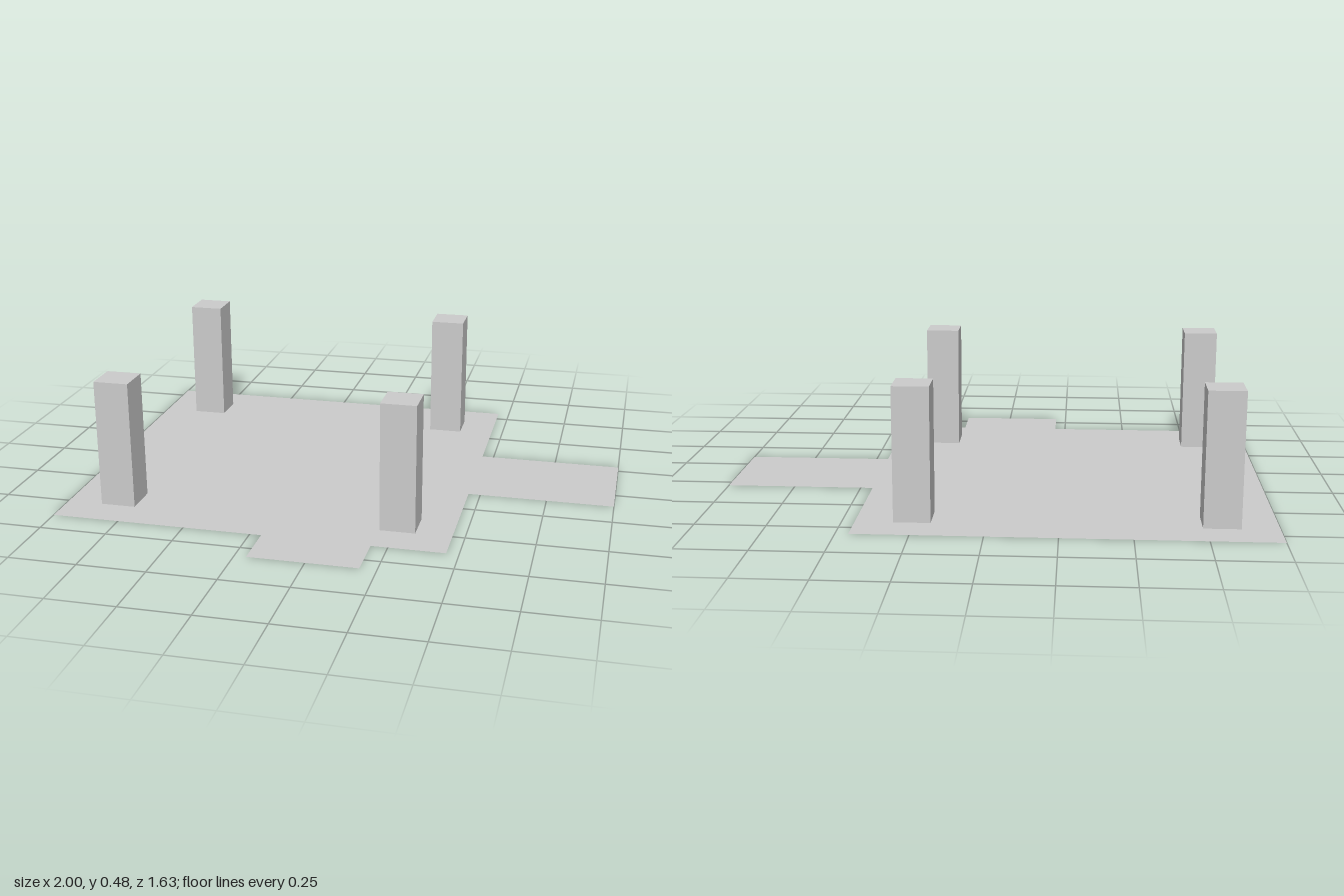
import * as THREE from 'three';

const POST = { size: 0.13, height: 0.48, xs: [-0.803, 0.257], zs: [-0.621, 0.438] };

export function createModel() {
  const model = new THREE.Group();
  model.name = 'platformWithPosts';
  const material = new THREE.MeshStandardMaterial({
    color: 0xcccccc, flatShading: true, side: THREE.DoubleSide,
  });

  // Flat outline as [x, z] corners; shape y is -z so the sheet faces up
  const toShapePoints = (corners) => corners.map(([x, z]) => new THREE.Vector2(x, -z));
  const outline = new THREE.Shape(toShapePoints([
    [-1, -0.816], [-1, 0.637], [-0.208, 0.637], [-0.208, 0.816], [0.189, 0.816], [0.189, 0.637],
    [0.455, 0.637], [0.455, 0.107], [1, 0.107], [1, -0.29], [0.455, -0.29], [0.455, -0.816],
  ]));

  // Post shell: a box without its bottom face
  const shell = new THREE.BoxGeometry(POST.size, POST.height, POST.size);
  const index = Array.from(shell.index.array);
  index.splice(18, 6);
  shell.setIndex(index);
  shell.clearGroups();
  shell.translate(0, POST.height / 2, 0);

  // Four hollow posts, each opening through the floor
  const h = POST.size / 2;
  for (const x of POST.xs) {
    for (const z of POST.zs) {
      outline.holes.push(new THREE.Path(toShapePoints([
        [x - h, z - h], [x + h, z - h], [x + h, z + h], [x - h, z + h],
      ])));
      const post = new THREE.Mesh(shell, material);
      post.name = `${z > 0 ? 'front' : 'back'}${x > 0 ? 'Left' : 'Right'}Post`;
      post.position.set(x, 0, z);
      model.add(post);
    }
  }

  // Floor sheet with its two tabs
  const floor = new THREE.Mesh(new THREE.ShapeGeometry(outline).rotateX(-Math.PI / 2), material);
  floor.name = 'floor';
  model.add(floor);
  return model;
}
